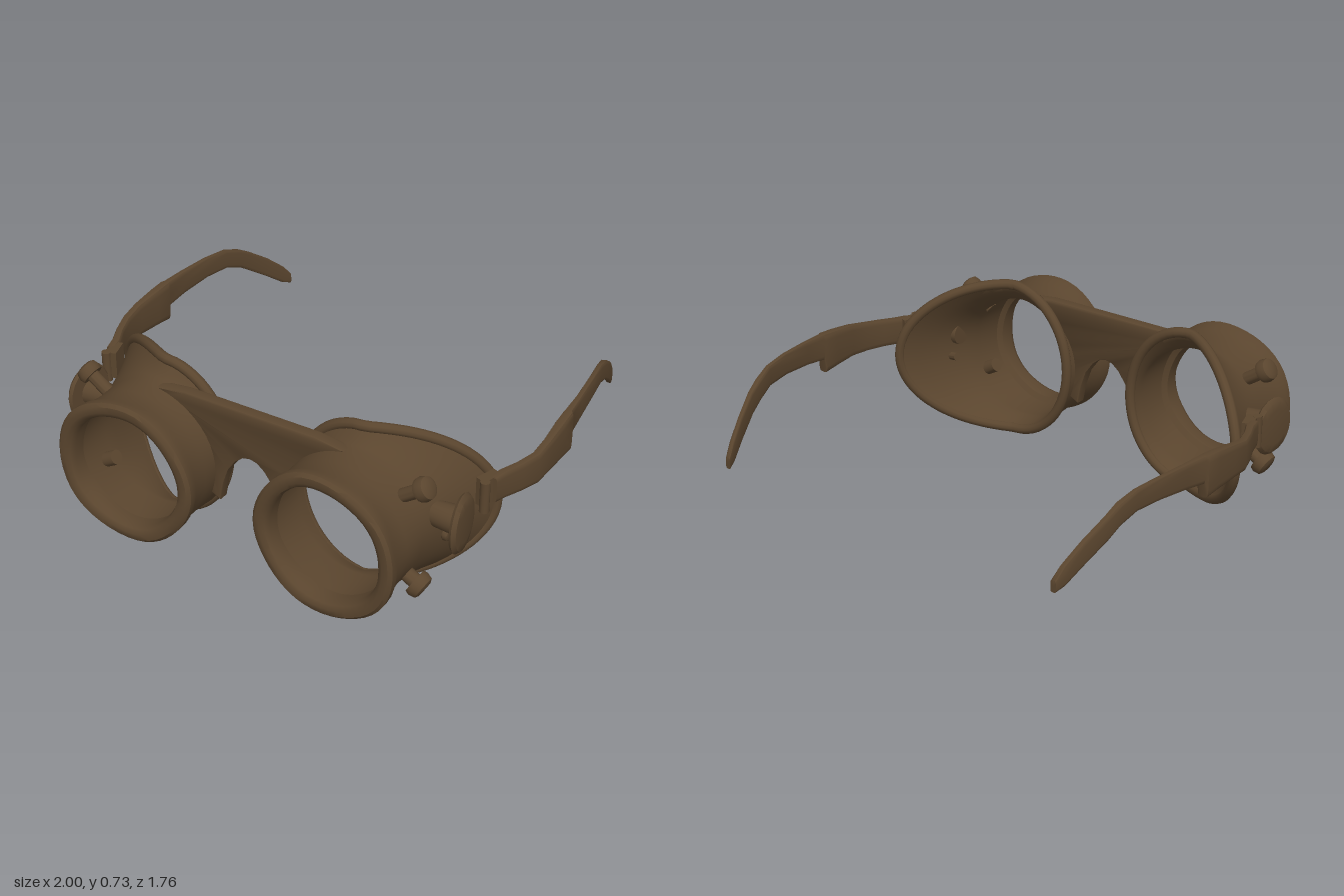
import * as THREE from 'three';
import { toCreasedNormals } from 'three/addons/utils/BufferGeometryUtils.js';

const CX = 0.46, CY = 0.357, SEG = 48;

// Skin rings of points that run from front to back
function loft(rings, loop = false) {
  const n = rings[0].length, m = rings.length, index = [];
  for (let i = 0; i < (loop ? m : m - 1); i++) {
    for (let j = 0; j < n; j++) {
      const k = (i + 1) % m, l = (j + 1) % n;
      const a = i * n + j, b = k * n + j, c = i * n + l, d = k * n + l;
      index.push(a, b, c, c, b, d);
    }
  }
  const g = new THREE.BufferGeometry().setFromPoints(rings.flat());
  g.setIndex(index);
  g.computeVertexNormals();
  return g;
}

// Back edge of an eye cup, swept round towards the temple
function rimPoint(a, inset = 0) {
  const c = Math.cos(a);
  const x = CX + c * ((c > 0 ? 0.425 : 0.3) - inset);
  const z = 0.55 - 0.29 * Math.pow(Math.max(0, c), 1.2);
  return new THREE.Vector3(x, 0.38 + Math.sin(a) * (0.353 - inset), z);
}

function ring(fn) {
  return Array.from({ length: SEG }, (_, j) => fn((j / SEG) * Math.PI * 2));
}

function barrelRing(r, z) {
  return ring(a => {
    const w = r + 0.003 * Math.sin(5 * a + z * 20);
    const x = Math.cos(a) * w;
    return new THREE.Vector3(CX + x, CY + Math.sin(a) * w, z + 0.03 * x);
  });
}

function flareRing(t, inset) {
  const base = barrelRing(0.3 - inset, 0.62);
  return base.map((p, j) => {
    const q = rimPoint((j / SEG) * Math.PI * 2, inset);
    const e = Math.pow(t, 1.4);
    return new THREE.Vector3(p.x + (q.x - p.x) * e, p.y + (q.y - p.y) * e, p.z + (q.z - p.z) * t);
  });
}

function cupGeometry() {
  const outer = [[0.275, 0.872], [0.3, 0.87], [0.314, 0.856], [0.313, 0.83], [0.3, 0.8], [0.294, 0.72], [0.3, 0.62]];
  const inner = [[0.272, 0.62], [0.272, 0.77], [0.25, 0.785], [0.246, 0.84], [0.256, 0.862]];
  const ts = [0.2, 0.4, 0.6, 0.8, 1];
  return loft([
    ...outer.map(p => barrelRing(...p)),
    ...ts.map(t => flareRing(t, 0)),
    ...ts.slice().reverse().map(t => flareRing(t, 0.028)),
    ...inner.map(p => barrelRing(...p)),
  ], true);
}

function armGeometry() {
  // z, x, half thickness, bottom, top
  const sections = [
    [0.35, 0.9, 0.02, 0.425, 0.535], [0.29, 0.915, 0.022, 0.42, 0.54], [0.22, 0.948, 0.02, 0.42, 0.545],
    [0.14, 0.975, 0.02, 0.42, 0.552], [0.05, 0.98, 0.02, 0.425, 0.57], [-0.06, 0.975, 0.024, 0.42, 0.585],
    [-0.135, 0.972, 0.024, 0.412, 0.592], [-0.145, 0.969, 0.018, 0.475, 0.592], [-0.25, 0.961, 0.014, 0.49, 0.595],
    [-0.4, 0.943, 0.013, 0.503, 0.596], [-0.52, 0.922, 0.013, 0.5, 0.588], [-0.6, 0.904, 0.016, 0.47, 0.56],
    [-0.66, 0.893, 0.014, 0.43, 0.525], [-0.76, 0.86, 0.013, 0.36, 0.455], [-0.84, 0.832, 0.013, 0.3, 0.385],
    [-0.88, 0.818, 0.012, 0.285, 0.335],
  ];
  const rings = sections.map(([z, x, h, lo, hi]) => Array.from({ length: 16 }, (_, j) => {
    const a = (j / 16) * Math.PI * 2, c = Math.cos(a), s = Math.sin(a);
    return new THREE.Vector3(
      x + h * Math.sign(c) * Math.pow(Math.abs(c), 0.4),
      (lo + hi) / 2 + ((hi - lo) / 2) * Math.sign(s) * Math.pow(Math.abs(s), 0.4), z);
  }));
  const cap = r => {
    const mid = r.reduce((v, p) => v.add(p), new THREE.Vector3()).divideScalar(r.length);
    return r.map(() => mid.clone());
  };
  return loft([cap(rings[0]), ...rings, cap(rings[rings.length - 1])]);
}

// Rounded button turned about an axis
function studGeometry(radius, depth, stem, position, axis) {
  const pts = [[0, -stem], [radius * 0.55, -stem], [radius * 0.55, 0], [radius * 0.92, 0],
    [radius, depth * 0.35], [radius * 0.88, depth * 0.85], [radius * 0.6, depth], [0, depth]];
  const g = new THREE.LatheGeometry(pts.map(p => new THREE.Vector2(...p)), 20);
  const q = new THREE.Quaternion().setFromUnitVectors(new THREE.Vector3(0, 1, 0), new THREE.Vector3(...axis).normalize());
  return g.applyQuaternion(q).translate(...position);
}

function bridgeGeometry() {
  const right = [];
  for (let i = 0; i <= 12; i++) {
    const a = THREE.MathUtils.degToRad(75 - i * 8);
    right.push([CX - 0.285 * Math.cos(a), CY + 0.285 * Math.sin(a)]);
  }
  right.unshift([0.42, 0.655], [0.3, 0.668]);
  [right[0], right[1]] = [right[1], right[0]];
  right.push([0.15, 0.23], [0.135, 0.31], [0.108, 0.385], [0.07, 0.437], [0.035, 0.465]);
  const left = right.map(([x, y]) => [-x, y]).reverse();
  const shape = new THREE.Shape([...right, [0, 0.473], ...left].map(p => new THREE.Vector2(...p)));
  return new THREE.ExtrudeGeometry(shape, {
    depth: 0.035, bevelEnabled: true, bevelSize: 0.006, bevelThickness: 0.008, bevelSegments: 2,
  }).translate(0, 0, 0.61);
}

export function createModel() {
  const model = new THREE.Group();
  model.name = 'goggles';
  const leather = new THREE.MeshStandardMaterial({ color: 0x5a452e });
  leather.name = 'dark brown';

  const add = (name, geometry, parent = model) => {
    const mesh = new THREE.Mesh(toCreasedNormals(geometry, 0.7), leather);
    mesh.name = name;
    parent.add(mesh);
  };

  const rimCurve = new THREE.CatmullRomCurve3(ring(a => rimPoint(a, 0.008)), true);
  const plate = studGeometry(0.12, 0.032, 0, [0, 0, 0], [0, 1, 0]);
  plate.scale(1.04, 1, 0.94).rotateZ(-Math.PI / 2).rotateY(Math.PI / 2).rotateY(-Math.PI / 2);
  plate.rotateY(0.14).translate(0.862, 0.43, 0.54);

  const parts = {
    eyeCup: cupGeometry(),
    backRim: new THREE.TubeGeometry(rimCurve, 72, 0.022, 10, true),
    templeArm: armGeometry(),
    sidePlate: plate,
    // Post that holds the plate off the cup
    plateStem: new THREE.CylinderGeometry(0.05, 0.06, 0.14, 16).rotateZ(Math.PI / 2).translate(0.81, 0.43, 0.53),
    hingeBlock: new THREE.BoxGeometry(0.045, 0.12, 0.09).rotateY(-0.3).translate(0.882, 0.475, 0.345),
    hingePin: new THREE.CylinderGeometry(0.02, 0.02, 0.135, 12).translate(0.89, 0.468, 0.39),
    upperStud: studGeometry(0.05, 0.05, 0.12, [0.755, 0.6, 0.645], [0.8, 0.55, 0]),
    lowerStud: studGeometry(0.056, 0.05, 0.12, [0.752, 0.195, 0.665], [0.8, -0.45, 0]),
    smallStud: studGeometry(0.032, 0.025, 0.06, [0.785, 0.325, 0.49], [1, -0.2, 0.2]),
  };

  // Mirror each side part across the middle
  for (const [side, s] of [['left', 1], ['right', -1]]) {
    const group = new THREE.Group();
    group.name = side + 'Side';
    for (const [name, source] of Object.entries(parts)) {
      const g = source.clone();
      if (s < 0) {
        g.scale(-1, 1, 1);
        g.setIndex(Array.from(g.index.array).reverse());
      }
      add(name, g, group);
    }
    model.add(group);
  }

  add('noseBridge', bridgeGeometry());
  return model;
}
